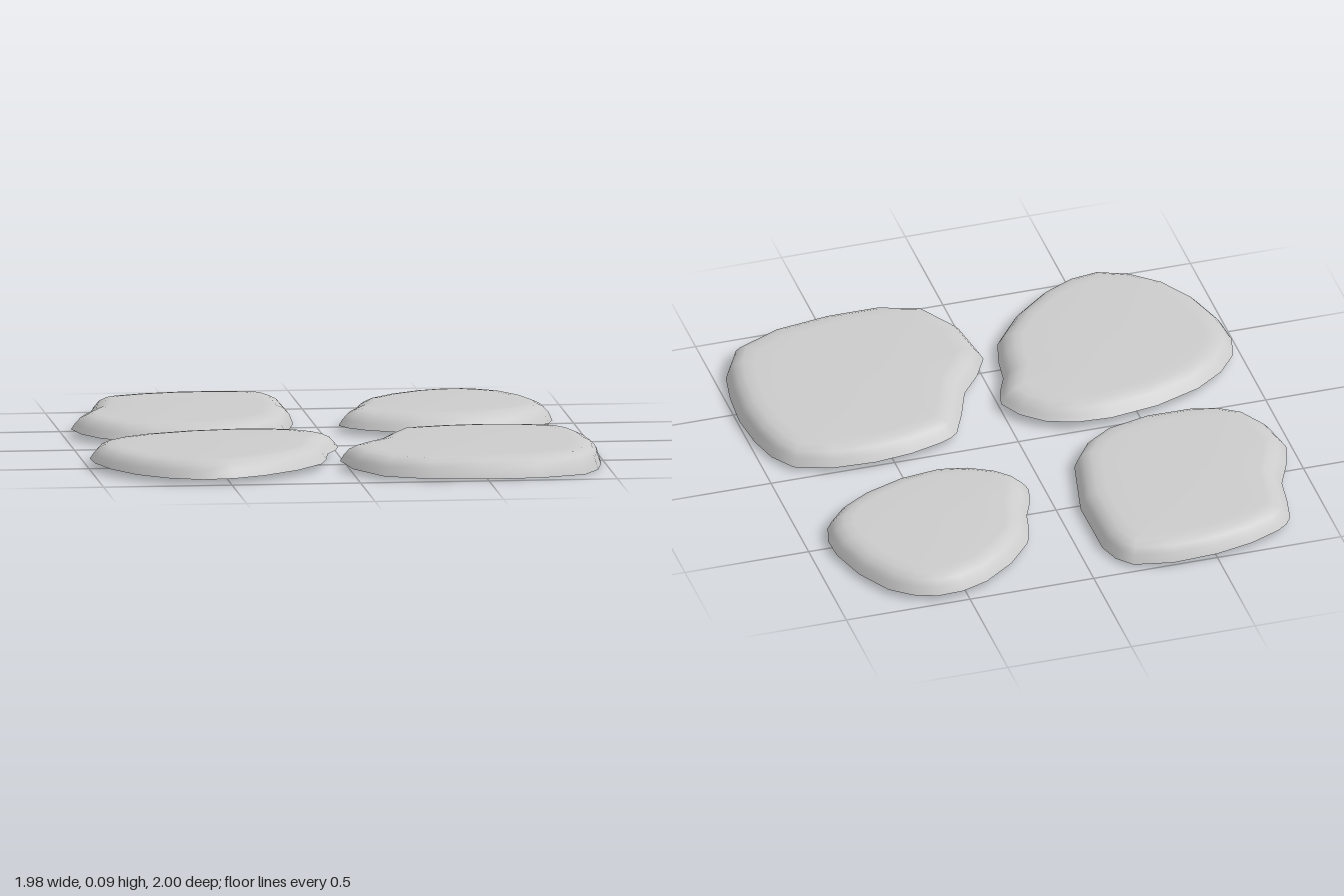
import * as THREE from 'three';

// Control points [x, z] of each stone, clockwise from above; rim height is [base, slope in x, slope in z]
const STONES = [
  {
    name: 'backLeftStone', rim: [0.01, -0.018, 0],
    outline: [[-.5, -1], [-.17, -.97], [-.09, -.82], [-.15, -.25], [-.32, -.08], [-.68, -.04],
      [-.88, -.13], [-.97, -.38], [-.88, -.61], [-.84, -.85], [-.77, -.92]],
  },
  {
    name: 'backRightStone', rim: [0.027, -0.01, 0],
    outline: [[.62, -.97], [.79, -.87], [.91, -.58], [.89, -.39], [.71, -.24], [.38, -.16],
      [.16, -.24], [.07, -.37], [.13, -.54], [.18, -.72], [.41, -.93]],
  },
  {
    name: 'frontLeftStone', rim: [0.033, 0, -0.012],
    outline: [[-.38, .01], [-.13, .06], [0, .23], [-.06, .4], [-.11, .64], [-.36, .9],
      [-.61, .98], [-.85, .83], [-.98, .53], [-.96, .3], [-.76, .11]],
  },
  {
    name: 'frontRightStone', rim: [0.035, -0.019, -0.019],
    outline: [[.58, -.01], [.89, .06], [.98, .28], [.98, .61], [.89, .87], [.48, .99],
      [.1, .93], [-.03, .56], [.11, .35], [.22, .09], [.3, .04]],
  },
];

// Rounded edge from rim to top: inset and height
const EDGE = [[0.015, 0.05], [0.035, 0.072], [0.065, 0.086]];
// Nearly flat top: fraction of the way to the centre and height
const TOP = [[0.1, 0.09], [0.5, 0.093], [1, 0.094]];

function stoneGeometry({ outline, rim }) {
  // Smooth closed outline, with one extra point between each pair of control points
  const curve = new THREE.CatmullRomCurve3(outline.map(([x, z]) => new THREE.Vector3(x, 0, z)), true);
  const n = outline.length * 2;
  const points = curve.getPoints(n).slice(0, n);
  const centre = points.reduce((sum, p) => sum.add(p), new THREE.Vector3()).divideScalar(n);

  // Inward direction at each outline point
  const inward = points.map((p, i) => {
    const t = points[(i + 1) % n].clone().sub(points[(i + n - 1) % n]).normalize();
    return new THREE.Vector3(-t.z, 0, t.x);
  });

  // Rings from the uneven rim, round the edge and across the top
  const rings = [points.map((p) => p.clone().setY(rim[0] + rim[1] * p.x + rim[2] * p.z))];
  for (const [inset, y] of EDGE) {
    rings.push(points.map((p, i) => p.clone().addScaledVector(inward[i], inset).setY(y)));
  }
  const shoulder = rings[EDGE.length];
  for (const [f, y] of TOP) rings.push(shoulder.map((p) => p.clone().lerp(centre, f).setY(y)));

  // Bands between rings, closing at the centre; the underside stays open
  const index = [];
  for (let r = 0; r < rings.length - 1; r++) {
    for (let i = 0; i < n; i++) {
      const a = r * n + i;
      const b = r * n + (i + 1) % n;
      index.push(b, a, a + n);
      if (r < rings.length - 2) index.push(b, a + n, b + n);
    }
  }

  const geometry = new THREE.BufferGeometry().setFromPoints(rings.flat());
  geometry.setIndex(index);
  geometry.computeVertexNormals();
  return geometry;
}

export function createModel() {
  const group = new THREE.Group();
  group.name = 'pavingStones';
  const material = new THREE.MeshStandardMaterial({ color: 0xcccccc, side: THREE.DoubleSide });
  for (const stone of STONES) {
    const mesh = new THREE.Mesh(stoneGeometry(stone), material);
    mesh.name = stone.name;
    group.add(mesh);
  }
  return group;
}
